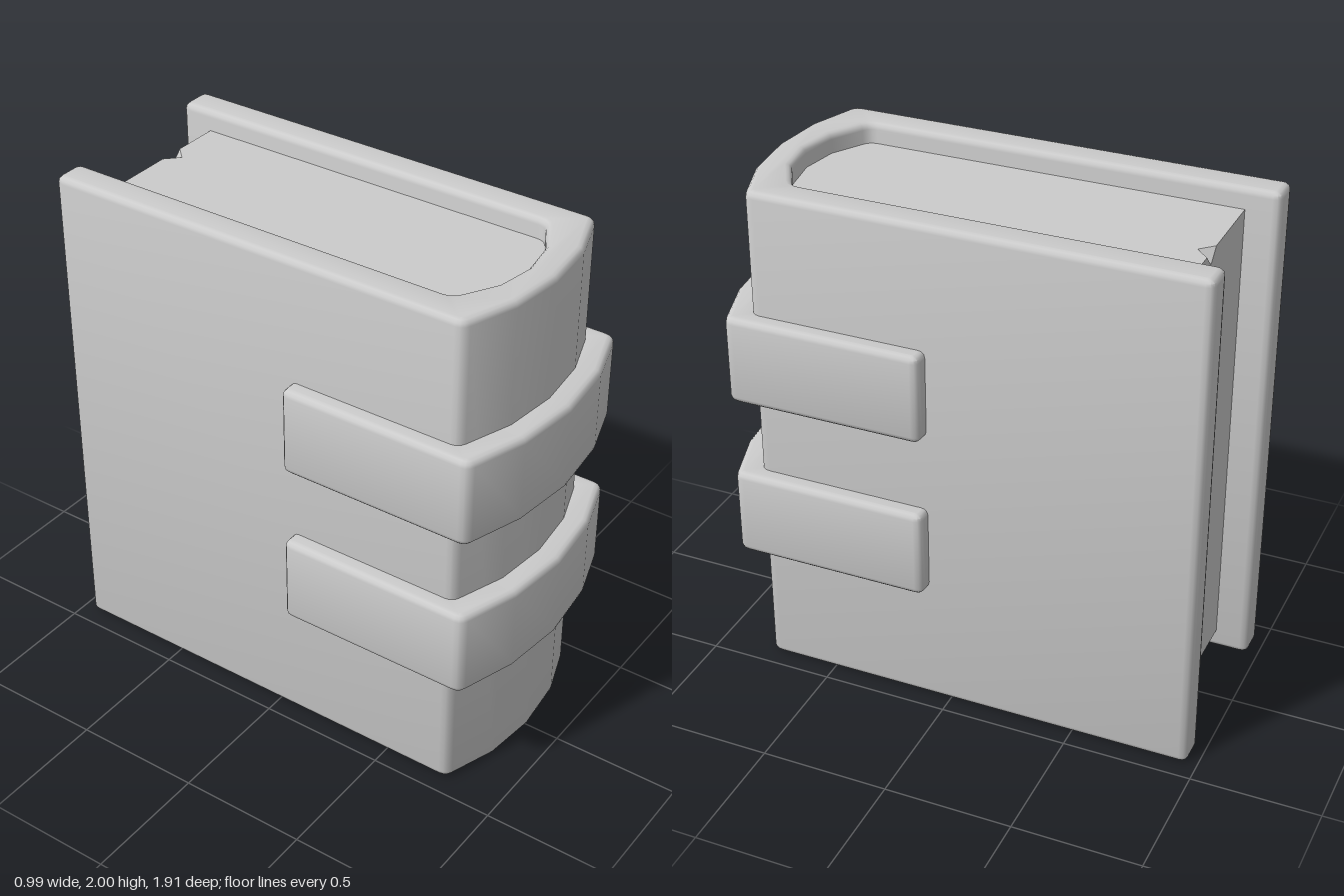
import * as THREE from 'three';
import { toCreasedNormals } from 'three/addons/utils/BufferGeometryUtils.js';

const grey = new THREE.MeshStandardMaterial({ color: 0xcccccc });
const V = (x, y) => new THREE.Vector2(x, y);

function addMesh(parent, name, geometry) {
  const mesh = new THREE.Mesh(geometry, grey);
  mesh.name = name;
  parent.add(mesh);
  return mesh;
}

// Mirror a half profile (x > 0, ending on x = 0) into a full open outline
function mirrored(half) {
  const other = half.slice(0, -1).reverse().map(([x, z]) => [-x, z]);
  return [...half, ...other].map(([x, z]) => V(x, z));
}

// Closed outline whose sharp corners are rounded with small curves
function roundedShape(points, r) {
  const out = [];
  points.forEach((p, i) => {
    const a = points[(i + points.length - 1) % points.length].clone().sub(p).normalize();
    const b = points[(i + 1) % points.length].clone().sub(p).normalize();
    if (a.dot(b) < -0.8) {
      out.push(p);
      return;
    }
    const curve = new THREE.QuadraticBezierCurve(
      p.clone().addScaledVector(a, r), p, p.clone().addScaledVector(b, r));
    out.push(...curve.getPoints(3));
  });
  return new THREE.Shape(out);
}

// U-shaped plan in (x, z), extruded upward with soft edges
function uShell(outer, inner, y0, y1) {
  const bevel = 0.025;
  const shape = roundedShape([...mirrored(outer), ...mirrored(inner).reverse()], 0.032);
  const geometry = new THREE.ExtrudeGeometry(shape, {
    depth: y1 - y0 - 2 * bevel, bevelEnabled: true, bevelThickness: bevel,
    bevelSize: bevel, bevelOffset: -bevel, bevelSegments: 3,
  });
  geometry.rotateX(Math.PI / 2).translate(0, y1 - bevel, 0);
  return toCreasedNormals(geometry, 0.7);
}

function createPages() {
  const pages = new THREE.Group();
  pages.name = 'pages';
  const back = -0.83, w = 0.305, y0 = 0.08, y1 = 1.92;
  // Small dents in the rear edges of the page block
  const top = { x: 0.065, half: 0.05, inset: 0.05, drop: 0.05, y: y1, dir: -1 };
  const bottom = { x: 0.19, half: 0.07, inset: 0.08, drop: 0.08, y: y0, dir: 1 };

  // Top and bottom of the block, following the rounded spine
  for (const d of [top, bottom]) {
    const spine = mirrored([[w, 0.63], [0.285, 0.66], [0.15, 0.735], [0, 0.76]]);
    const shape = new THREE.Shape([
      V(-w, back), V(d.x - d.half, back), V(d.x, back + d.inset),
      V(d.x + d.half, back), V(w, back), ...spine,
    ].map((p) => V(p.x, p.y * d.dir)));
    const geometry = new THREE.ShapeGeometry(shape);
    geometry.rotateX(d.dir * Math.PI / 2).translate(0, d.y, 0);
    addMesh(pages, d === top ? 'pagesTop' : 'pagesBottom', geometry);

    // Two inner faces of the dent
    const tip = [d.x, d.y, back + d.inset];
    const low = [d.x, d.y + d.dir * d.drop, back];
    const left = [d.x - d.half, d.y, back], right = [d.x + d.half, d.y, back];
    const faces = d === top
      ? [left, tip, low, right, low, tip]
      : [left, low, tip, right, tip, low];
    const dent = new THREE.BufferGeometry();
    dent.setAttribute('position', new THREE.Float32BufferAttribute(faces.flat(), 3));
    dent.computeVertexNormals();
    const mesh = addMesh(pages, d === top ? 'topDent' : 'bottomDent', dent);
    mesh.material = grey.clone();
    mesh.material.side = THREE.DoubleSide;
  }

  // Fore edge, drawn mirrored in x so that it faces backward
  const edge = new THREE.Shape([
    V(-w, y0),
    V(-bottom.x - bottom.half, y0), V(-bottom.x, y0 + bottom.drop), V(-bottom.x + bottom.half, y0),
    V(w, y0), V(w, y1),
    V(-top.x + top.half, y1), V(-top.x, y1 - top.drop), V(-top.x - top.half, y1),
    V(-w, y1),
  ]);
  addMesh(pages, 'pagesForeEdge',
    new THREE.ShapeGeometry(edge).rotateY(Math.PI).translate(0, 0, back));
  return pages;
}

export function createModel() {
  const book = new THREE.Group();
  book.name = 'book';

  // Cover boards and curved spine in one shell
  addMesh(book, 'cover', uShell(
    [[0.43, -0.96], [0.43, 0.77], [0.215, 0.845], [0, 0.868]],
    [[0.3, -0.96], [0.3, 0.645], [0.15, 0.73], [0, 0.755]], 0, 2));

  book.add(createPages());

  // Raised straps wrapping the spine
  [[0.505, 0.855, 'lowerStrap'], [1.165, 1.515, 'upperStrap']].forEach(([y0, y1, name]) => {
    addMesh(book, name, uShell(
      [[0.495, 0.08], [0.495, 0.85], [0.255, 0.927], [0, 0.955]],
      [[0.38, 0.08], [0.38, 0.73], [0.2, 0.79], [0, 0.81]], y0, y1));
  });
  return book;
}
